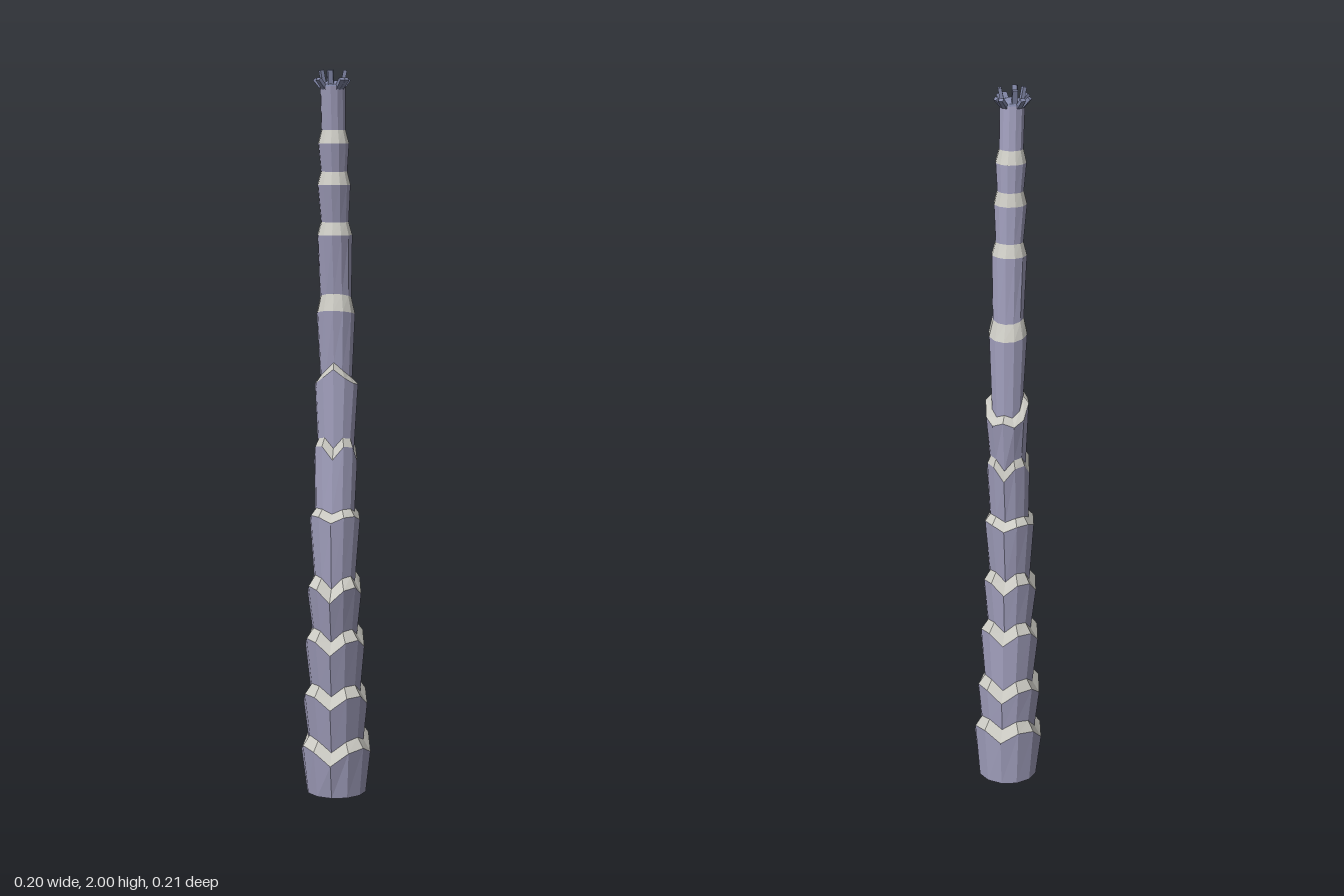
import * as THREE from 'three';

const SIDES = 12;
const barkMat = new THREE.MeshStandardMaterial({ color: 0xa3a1bf, flatShading: true, side: THREE.DoubleSide });
const bandMat = new THREE.MeshStandardMaterial({ color: 0xcccbc4, flatShading: true, side: THREE.DoubleSide });
const crownMat = new THREE.MeshStandardMaterial({ color: 0x8288a8, flatShading: true });

// Per segment, the flared rim and the neck above it:
// rim [y, half width, front z, back z], neck [rise, half width, front z, back z], front tilt, zigzag
const segments = [
  [[0.14, 0.098, 0.09, -0.107], [0.03, 0.078, 0.07, -0.086], -0.02, 0.022],
  [[0.28, 0.09, 0.095, -0.093], [0.03, 0.07, 0.072, -0.074], 0, 0.022],
  [[0.445, 0.083, 0.097, -0.076], [0.03, 0.062, 0.075, -0.055], -0.01, 0.022],
  [[0.595, 0.075, 0.102, -0.065], [0.03, 0.057, 0.07, -0.042], -0.012, 0.022],
  [[0.79, 0.07, 0.082, -0.063], [0.02, 0.055, 0.06, -0.042], 0, 0.01],
  [[0.965, 0.06, 0.052, -0.061], [0.025, 0.05, 0.036, -0.053], 0.01, 0.025],
  [[1.14, 0.06, 0.037, -0.073], [0.02, 0.044, 0.026, -0.055], 0.045, -0.012],
  [[1.345, 0.053, 0.043, -0.058], [0.045, 0.043, 0.028, -0.04], 0.012, 0],
  [[1.56, 0.048, 0.058, -0.038], [0.035, 0.038, 0.046, -0.024], 0, 0],
  [[1.695, 0.045, 0.07, -0.022], [0.035, 0.036, 0.058, -0.012], 0, 0],
  [[1.805, 0.042, 0.074, -0.012], [0.035, 0.033, 0.063, 0.002], 0, 0],
];

// A ring of points, tilted toward the front and notched in a zigzag
function ring(y, halfWidth, front, back, tilt = 0, zig = 0) {
  const points = [];
  for (let i = 0; i < SIDES; i++) {
    const a = (i / SIDES) * Math.PI * 2;
    points.push(new THREE.Vector3(
      halfWidth * Math.sin(a),
      y + tilt * Math.cos(a) - zig * Math.cos(4 * a),
      (front + back) / 2 + ((front - back) / 2) * Math.cos(a)));
  }
  return points;
}

// Wall between two rings
function wall(name, lower, upper, material) {
  const positions = [];
  for (let i = 0; i < SIDES; i++) {
    const j = (i + 1) % SIDES;
    for (const p of [lower[i], lower[j], upper[j], lower[i], upper[j], upper[i]]) positions.push(p.x, p.y, p.z);
  }
  const geometry = new THREE.BufferGeometry();
  geometry.setAttribute('position', new THREE.Float32BufferAttribute(positions, 3));
  geometry.computeVertexNormals();
  const mesh = new THREE.Mesh(geometry, material);
  mesh.name = name;
  return mesh;
}

export function createModel() {
  const model = new THREE.Group();
  model.name = 'palmTrunk';

  // Stacked trunk segments with a pale scar band on each rim
  const base = ring(0, 0.084, 0.066, -0.095);
  let lower = base;
  segments.forEach(([rim, neck, tilt, zig], i) => {
    const rimRing = ring(...rim, tilt, zig);
    const neckRing = ring(rim[0] + neck[0], ...neck.slice(1), tilt, zig * 0.8);
    model.add(wall(`trunkSegment${i + 1}`, lower, rimRing, barkMat));
    model.add(wall(`scarBand${i + 1}`, rimRing, neckRing, bandMat));
    lower = neckRing;
  });
  const top = ring(1.955, 0.034, 0.08, 0.012);
  model.add(wall('trunkTip', lower, top, barkMat));

  // Flat underside
  const foot = new THREE.Mesh(new THREE.CircleGeometry(1, SIDES), barkMat);
  foot.name = 'trunkFoot';
  foot.rotation.x = Math.PI / 2;
  foot.scale.set(0.084, 0.0805, 1);
  foot.position.z = -0.0145;
  model.add(foot);

  // Crown: low dome ringed by short leaf stubs
  const crown = new THREE.Group();
  crown.name = 'crown';
  crown.position.set(0, 1.955, 0.046);
  const dome = new THREE.Mesh(new THREE.SphereGeometry(0.034, SIDES, 4, 0, Math.PI * 2, 0, Math.PI / 2), crownMat);
  dome.name = 'crownDome';
  dome.scale.y = 0.5;
  crown.add(dome);
  const stubGeometry = new THREE.BoxGeometry(0.014, 1, 0.01).translate(0, 0.5, 0);
  const count = 11;
  for (let i = 0; i < count; i++) {
    const pivot = new THREE.Group();
    pivot.name = 'leafStubPivot';
    pivot.rotation.y = (i / count) * Math.PI * 2 + 0.15 * Math.sin(i * 2.3);
    const stub = new THREE.Mesh(stubGeometry, crownMat);
    stub.name = 'leafStub';
    const steep = i % 3 === 0;
    stub.position.set(0, -0.012, 0.022);
    stub.scale.y = steep ? 0.056 : 0.042;
    stub.rotation.x = steep ? 0.2 : 0.72;
    pivot.add(stub);
    crown.add(pivot);
  }
  model.add(crown);
  return model;
}
